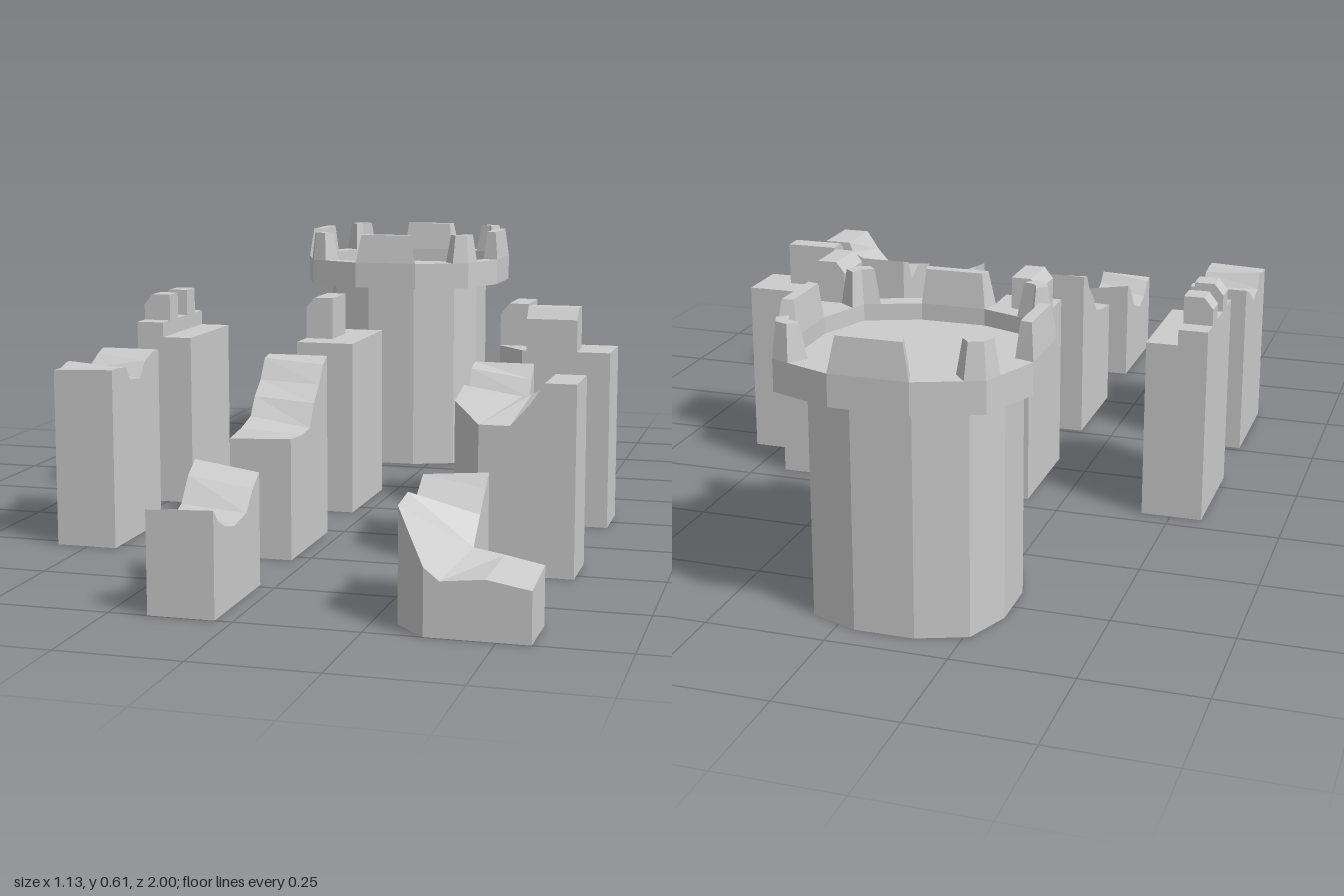
import * as THREE from 'three';

const material = new THREE.MeshStandardMaterial({ color: 0xcccccc, flatShading: true });

function part(parent, name, geometry, x = 0, y = 0, z = 0) {
  const mesh = new THREE.Mesh(geometry, material);
  mesh.name = name;
  mesh.position.set(x, y, z);
  parent.add(mesh);
  return mesh;
}

// Skin a run of cross-sections and cap both ends
function loft(rings) {
  const pos = [];
  const quad = (a, b, c, d) => pos.push(...a, ...b, ...c, ...a, ...c, ...d);
  const n = rings[0].length;
  for (let k = 0; k < rings.length - 1; k++) {
    for (let j = 0; j < n; j++) {
      const m = (j + 1) % n;
      quad(rings[k][m], rings[k + 1][m], rings[k + 1][j], rings[k][j]);
    }
  }
  quad(...rings[rings.length - 1]);
  quad(...[...rings[0]].reverse());
  const g = new THREE.BufferGeometry();
  g.setAttribute('position', new THREE.Float32BufferAttribute(pos, 3));
  g.computeVertexNormals();
  return g;
}

// Wall whose top follows stations: [outerX, outerZ, innerX, innerZ, outerTop, innerTop]
const wall = (stations) => loft(stations.map(([ox, oz, ix, iz, oy, iy]) =>
  [[ox, 0, oz], [ix, 0, iz], [ix, iy, iz], [ox, oy, oz]]));

// Straight wall from [z, outerTop, innerTop]
const straightWall = (tops) => wall(tops.map(([z, o, i]) => [0, z, 0.135, z, o, i]));

// Merlon with a chamfered outer top edge, running along z
function merlonGeometry(length, height) {
  const s = new THREE.Shape();
  s.moveTo(0, 0);
  s.lineTo(0.065, 0);
  s.lineTo(0.065, height);
  s.lineTo(0.02, height);
  s.lineTo(0, height - 0.025);
  return new THREE.ExtrudeGeometry(s, { depth: length, bevelEnabled: false });
}

// Twelve-sided plan with wide faces on the axes
function towerPlan(scale, Type = THREE.Shape) {
  const pts = [];
  for (let k = 0; k < 4; k++) {
    for (const [x, y] of [[0.26, -0.08], [0.26, 0.08], [0.21, 0.21]]) {
      pts.push(new THREE.Vector2(x * scale, y * scale).rotateAround(new THREE.Vector2(), k * Math.PI / 2));
    }
  }
  return new Type(pts);
}

function slab(scale, height, hole) {
  const s = towerPlan(scale);
  if (hole) s.holes.push(towerPlan(hole, THREE.Path));
  return new THREE.ExtrudeGeometry(s, { depth: height, bevelEnabled: false }).rotateX(-Math.PI / 2);
}

function towerMerlon(base, top) {
  return loft(base.map(([bx, bz], k) => {
    const [tx, tz] = top[k];
    return [[bx, 0.54, bz], [bx * 0.85, 0.54, bz * 0.85],
      [tx * 0.88, 0.612, tz * 0.88], [tx * 0.97, 0.612, tz * 0.97]];
  }));
}

function createTower() {
  const tower = new THREE.Group();
  tower.name = 'tower';
  part(tower, 'towerBody', slab(0.77, 0.48));
  part(tower, 'towerDeck', slab(1, 0.03), 0, 0.475, 0);
  part(tower, 'towerRim', slab(1, 0.035, 0.85), 0, 0.505, 0);
  const faceMerlon = towerMerlon([[-0.08, 0.26], [0.08, 0.26]], [[-0.068, 0.26], [0.068, 0.26]]);
  const cornerMerlon = towerMerlon(
    [[0.172, 0.225], [0.21, 0.21], [0.225, 0.172]],
    [[0.182, 0.221], [0.21, 0.21], [0.221, 0.182]]);
  for (let k = 0; k < 4; k++) {
    part(tower, 'towerFaceMerlon', faceMerlon).rotation.y = k * Math.PI / 2;
    part(tower, 'towerCornerMerlon', cornerMerlon).rotation.y = k * Math.PI / 2;
  }
  tower.position.set(-0.1, 0, -0.74);
  return tower;
}

export function createModel() {
  const model = new THREE.Group();
  model.name = 'castlePieces';
  model.add(createTower());

  const [colA, colB, colC] = [-0.57, -0.17, 0.3];
  const [row1, row2, row3] = [-0.205, 0.265, 0.735];
  const flat = [[0, 0.4, 0.4], [0.265, 0.4, 0.4]];

  // Intact wall with a parapet and two merlons
  part(model, 'parapetWall', straightWall(flat), colA, 0, row1);
  part(model, 'parapet', new THREE.BoxGeometry(0.065, 0.035, 0.265), colA + 0.0325, 0.4175, row1 + 0.1325);
  for (const z of [-0.155, -0.04]) part(model, 'parapetMerlon', merlonGeometry(0.053, 0.062), colA, 0.435, z);

  // Intact wall with one merlon
  part(model, 'plainWall', straightWall(flat), colB, 0, row1);
  part(model, 'wallMerlon', merlonGeometry(0.11, 0.097), colB, 0.4, -0.125);

  // Intact corner wall with a merlon on each leg
  part(model, 'cornerWall', wall([
    [0, 0, 0.13, 0, 0.4, 0.4],
    [0, 0.195, 0.13, 0.135, 0.4, 0.4],
    [0.065, 0.265, 0.13, 0.135, 0.4, 0.4],
    [0.265, 0.265, 0.265, 0.135, 0.4, 0.4],
  ]), colC, 0, row1);
  part(model, 'cornerSideMerlon', merlonGeometry(0.11, 0.097), colC, 0.4, -0.125);
  part(model, 'cornerFrontMerlon', merlonGeometry(0.115, 0.097), 0.375, 0.4, 0.06).rotation.y = Math.PI / 2;

  // Damaged walls
  part(model, 'chippedWall', straightWall([
    [0, 0.4, 0.4], [0.03, 0.39, 0.4], [0.08, 0.365, 0.385], [0.11, 0.345, 0.35],
    [0.165, 0.36, 0.355], [0.19, 0.395, 0.385], [0.23, 0.385, 0.39], [0.265, 0.385, 0.39],
  ]), colA, 0, row2);
  part(model, 'brokenWall', straightWall([
    [0, 0.4, 0.4], [0.03, 0.395, 0.385], [0.06, 0.35, 0.345], [0.1, 0.32, 0.31],
    [0.13, 0.28, 0.26], [0.19, 0.265, 0.255], [0.265, 0.255, 0.26],
  ]), colB, 0, row2);
  part(model, 'ruinedWall', straightWall([
    [0, 0.25, 0.23], [0.04, 0.225, 0.205], [0.08, 0.175, 0.165], [0.15, 0.15, 0.155],
    [0.2, 0.165, 0.165], [0.24, 0.2, 0.185], [0.265, 0.205, 0.21],
  ]), colB, 0, row3);

  // Damaged corner walls
  part(model, 'brokenCorner', wall([
    [0, 0, 0.13, 0, 0.4, 0.4],
    [0, 0.035, 0.13, 0.03, 0.39, 0.37],
    [0, 0.06, 0.13, 0.05, 0.34, 0.335],
    [0, 0.11, 0.13, 0.11, 0.365, 0.335],
    [0, 0.195, 0.13, 0.135, 0.345, 0.35],
    [0.065, 0.265, 0.13, 0.135, 0.31, 0.35],
    [0.13, 0.265, 0.15, 0.135, 0.31, 0.355],
    [0.17, 0.265, 0.19, 0.135, 0.355, 0.375],
    [0.2, 0.265, 0.2, 0.135, 0.4, 0.4],
    [0.265, 0.265, 0.265, 0.135, 0.4, 0.4],
  ]), colC, 0, row2);
  part(model, 'ruinedCorner', wall([
    [0, 0, 0.13, 0, 0.245, 0.255],
    [0, 0.05, 0.13, 0.03, 0.215, 0.23],
    [0, 0.12, 0.13, 0.08, 0.235, 0.19],
    [0, 0.195, 0.13, 0.135, 0.225, 0.14],
    [0.035, 0.235, 0.13, 0.135, 0.175, 0.14],
    [0.065, 0.265, 0.13, 0.135, 0.13, 0.14],
    [0.095, 0.265, 0.13, 0.135, 0.106, 0.14],
    [0.18, 0.265, 0.19, 0.135, 0.115, 0.13],
    [0.265, 0.265, 0.265, 0.135, 0.1, 0.115],
  ]), colC, 0, row3);

  return model;
}
